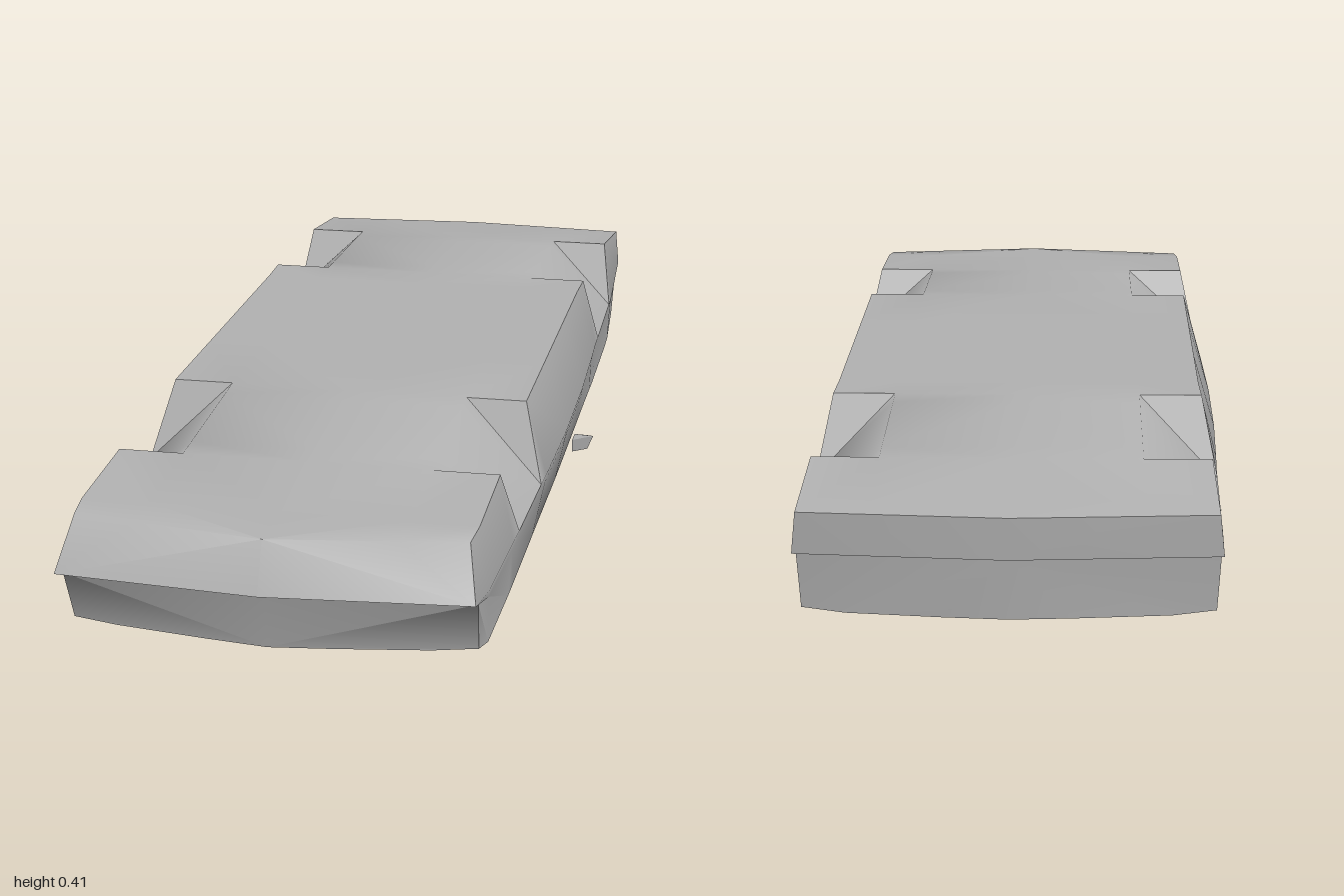
import * as THREE from 'three';
import { toCreasedNormals } from 'three/addons/utils/BufferGeometryUtils.js';
import { ConvexGeometry } from 'three/addons/geometries/ConvexGeometry.js';

// Half cross-section, from the flat underbody (up) round the side to the roof (down).
// o: z, top y, top x, widest x, belt x/y, roof edge x/y, roof y, wheel well flag
function section([z, yt, xt, w, xb, yb, xr, yr, y0, well]) {
  return [
    [0, yt, z], [0.207, yt, z],
    well ? [w, 0.275, z] : [xt, yt, z],
    [w, 0.275, z], [w - 0.002, 0.262, z],
    [xb, yb, z], [xr, yr, z], [0.1, y0, z], [0, y0, z],
  ];
}

// End section: bumper lip stands proud of the panel beyond it, all swept back to the corners.
// zs: [centre z, corner z] for the top edge, bumper edge, inset and belt
function endSection(o, zs, yLip) {
  const row = [0, 0, 0, 1, 2, 3, 3, 3, 3];
  const pts = section([0, ...o]);
  pts[3][1] = yLip;
  pts[4][1] = yLip - 0.012;
  pts.forEach((p, i) => {
    const [c, e] = zs[row[i]];
    p[2] = c + (e - c) * Math.min(1, p[0] / 0.32);
  });
  pts.lip = [[0, yLip, zs[1][0]], [0, yLip - 0.012, zs[2][0]]];
  return pts;
}

function bodyGeometry() {
  const front = endSection([0.372, 0.31, 0.328, 0.322, 0.192, 0.25, 0.187, 0.185],
    [[0.965, 0.915], [1.0, 0.972], [0.962, 0.935], [0.942, 0.9]], 0.292);
  const back = endSection([0.367, 0.318, 0.325, 0.318, 0.197, 0.25, 0.19, 0.188],
    [[-1, -0.977], [-0.997, -0.972], [-0.952, -0.93], [-0.945, -0.92]], 0.3);
  const rows = [
    [0.86, 0.377, 0.315, 0.332, 0.33, 0.187, 0.25, 0.18, 0.178],
    [0.66, 0.388, 0.315, 0.338, 0.331, 0.182, 0.25, 0.165, 0.16],
    [0.61, 0.391, 0, 0.34, 0.331, 0.181, 0.25, 0.163, 0.156, true],
    [0.39, 0.403, 0, 0.345, 0.331, 0.18, 0.212, 0.04, 0.028, true],
    [0.34, 0.406, 0.31, 0.347, 0.331, 0.18, 0.202, 0.02, 0.002],
    [0.1, 0.406, 0.31, 0.351, 0.332, 0.18, 0.203, 0.019, 0],
    [-0.15, 0.406, 0.31, 0.349, 0.331, 0.18, 0.202, 0.022, 0.008],
    [-0.35, 0.406, 0.31, 0.343, 0.33, 0.18, 0.265, 0.158, 0.143],
    [-0.43, 0.406, 0.312, 0.34, 0.33, 0.18, 0.265, 0.16, 0.146],
    [-0.48, 0.404, 0, 0.339, 0.33, 0.18, 0.265, 0.161, 0.147, true],
    [-0.72, 0.396, 0, 0.334, 0.328, 0.184, 0.26, 0.168, 0.16, true],
    [-0.77, 0.393, 0.315, 0.333, 0.327, 0.186, 0.26, 0.172, 0.164],
  ];
  const stations = [front, ...rows.map(section), back];
  const wells = [false, ...rows.map((r) => !!r[9]), false];

  const pos = [];
  // Adds one triangle and its mirror image
  const tri = (a, b, c) => {
    pos.push(...a, ...b, ...c);
    for (const p of [a, c, b]) pos.push(-p[0], p[1], p[2]);
  };
  const fan = (poly) => {
    for (let i = 1; i < poly.length - 1; i++) tri(poly[0], poly[i], poly[i + 1]);
  };

  // Skin between neighbouring sections, diagonals follow the wheel well corners
  for (let s = 0; s < stations.length - 1; s++) {
    const a = stations[s], b = stations[s + 1];
    const flip = wells[s] && !wells[s + 1];
    for (let i = 0; i < 8; i++) {
      if (flip) {
        tri(a[i], a[i + 1], b[i]);
        tri(a[i + 1], b[i + 1], b[i]);
      } else {
        tri(a[i], a[i + 1], b[i + 1]);
        tri(a[i], b[i + 1], b[i]);
      }
    }
  }
  // End faces: bumper, underside of its lip, panel beyond
  for (const [e, isFront] of [[front, true], [back, false]]) {
    const [c3, c4] = e.lip;
    const faces = [
      [c3, e[0], e[1], e[2], e[3]],
      [c4, c3, e[3], e[4]],
      [c4, e[4], e[5], e[6], e[7], e[8]],
    ];
    for (const f of faces) fan(isFront ? f.reverse() : f);
  }

  const geo = new THREE.BufferGeometry();
  geo.setAttribute('position', new THREE.Float32BufferAttribute(pos, 3));
  return toCreasedNormals(geo, 0.9);
}

export function createModel() {
  const model = new THREE.Group();
  model.name = 'overturnedCarBody';
  const grey = new THREE.MeshStandardMaterial({ color: 0xb3b3b3 });
  grey.name = 'bodyGrey';

  const body = new THREE.Mesh(bodyGeometry(), grey);
  body.name = 'carBody';
  model.add(body);

  // Small wing mirrors beside the windscreen
  for (const side of [1, -1]) {
    const pts = [
      [0.32, 0.111, -0.245], [0.32, 0.135, -0.245], [0.324, 0.146, -0.25],
      [0.361, 0.146, -0.245], [0.35, 0.119, -0.245],
      [0.328, 0.125, -0.265], [0.345, 0.14, -0.265],
    ].map(([x, y, z]) => new THREE.Vector3(side * x, y, z));
    const mirror = new THREE.Mesh(new ConvexGeometry(pts), grey);
    mirror.name = side > 0 ? 'leftWingMirror' : 'rightWingMirror';
    model.add(mirror);
  }
  return model;
}
